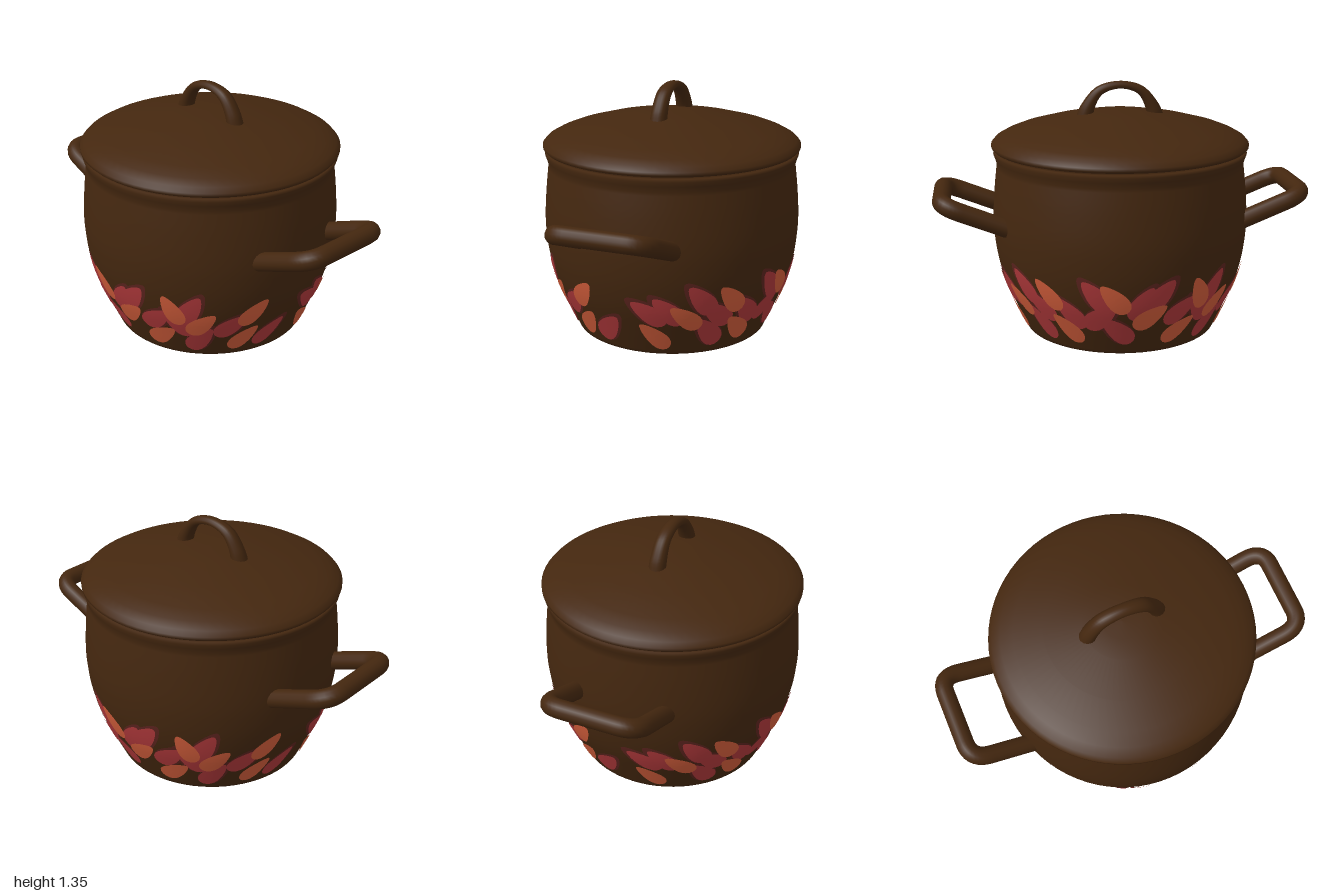
import * as THREE from 'three';
import { mergeGeometries } from 'three/addons/utils/BufferGeometryUtils.js';

const V2 = (x, y) => new THREE.Vector2(x, y);
const V3 = (x, y, z) => new THREE.Vector3(x, y, z);
const flat = (name, color) => Object.assign(new THREE.MeshStandardMaterial({ color }), { name });

// Outer wall of the pot, foot to neck
const wall = new THREE.SplineCurve([
  V2(0.52, 0.03), V2(0.578, 0.16), V2(0.635, 0.3), V2(0.668, 0.43),
  V2(0.683, 0.55), V2(0.685, 0.66), V2(0.675, 0.8), V2(0.66, 0.93),
]).getPoints(35);

function wallRadius(y) {
  let i = 1;
  while (i < wall.length - 1 && wall[i].y < y) i++;
  const a = wall[i - 1], b = wall[i];
  return a.x + (b.x - a.x) * (y - a.y) / (b.y - a.y);
}

// Leaf-shaped plate wrapped on the wall: angle from the front, height, lean, half sizes, lift
function petal([angle, y0, lean], length, width, lift) {
  const g = new THREE.RingGeometry(0.001, 1, 22, 5);
  const p = g.attributes.position;
  const t = THREE.MathUtils.degToRad(lean);
  const r0 = wallRadius(y0);
  for (let i = 0; i < p.count; i++) {
    const l = p.getY(i) * length;
    const w = p.getX(i) * width * (1 - 0.35 * p.getY(i));
    const th = THREE.MathUtils.degToRad(angle) + (w * Math.cos(t) + l * Math.sin(t)) / r0;
    const y = y0 + l * Math.cos(t) - w * Math.sin(t);
    const r = wallRadius(y) + lift;
    p.setXYZ(i, r * Math.sin(th), y, r * Math.cos(th));
  }
  g.computeVertexNormals();
  return g;
}

// Half of the band of petals; the other half is turned by 180 degrees
const orangePetals = [
  [-77, 0.15, -42], [-62, 0.27, -50], [-41, 0.36, -42], [-34, 0.17, -42], [-10, 0.37, -42],
  [6, 0.26, 52], [22, 0.16, 50], [30, 0.36, -25], [43, 0.275, 45], [67, 0.34, 42], [64, 0.16, 40],
];
const redPetals = [
  [-79, 0.295, -55], [-70, 0.31, -45], [-55, 0.37, -40], [-50, 0.17, -35], [-47, 0.28, -50],
  [-31, 0.27, -40], [-18, 0.38, -40], [-17, 0.26, 50], [-9, 0.18, -45], [2, 0.34, 30],
  [10, 0.38, 40], [21, 0.28, 50], [32, 0.27, -40], [38, 0.37, 30], [42, 0.16, 35],
  [57, 0.26, 50], [78, 0.165, 40],
];

// Rounded U-shaped side handle, tilted upward
function handleGeometry() {
  const at = (x, z) => V3(x, 0.63 + (x - 0.6) * 0.4, z);
  const path = new THREE.CurvePath();
  path.add(new THREE.LineCurve3(at(0.58, 0.245), at(0.85, 0.245)));
  path.add(new THREE.QuadraticBezierCurve3(at(0.85, 0.245), at(0.952, 0.245), at(0.952, 0.15)));
  path.add(new THREE.LineCurve3(at(0.952, 0.15), at(0.952, -0.15)));
  path.add(new THREE.QuadraticBezierCurve3(at(0.952, -0.15), at(0.952, -0.245), at(0.85, -0.245)));
  path.add(new THREE.LineCurve3(at(0.85, -0.245), at(0.58, -0.245)));
  return new THREE.TubeGeometry(path, 72, 0.048, 14);
}

// Arched lid handle, thinner at the crown than at the feet
function lidHandleGeometry() {
  const n = 40, sides = 14;
  const curve = new THREE.CatmullRomCurve3([
    V3(-0.19, 1.16, 0), V3(-0.172, 1.22, 0), V3(-0.11, 1.305, 0), V3(0, 1.335, 0),
    V3(0.11, 1.305, 0), V3(0.172, 1.22, 0), V3(0.19, 1.16, 0),
  ]);
  const g = new THREE.TubeGeometry(curve, n, 0.042, sides);
  const p = g.attributes.position;
  for (let i = 0; i <= n; i++) {
    const c = curve.getPointAt(i / n);
    const end = Math.abs(2 * i / n - 1);
    const thick = 0.48 + 0.65 * end * end, deep = 0.88 + 0.22 * end;
    for (let j = 0; j <= sides; j++) {
      const k = i * (sides + 1) + j;
      p.setXYZ(k, c.x + (p.getX(k) - c.x) * thick, c.y + (p.getY(k) - c.y) * thick, p.getZ(k) * deep);
    }
  }
  // keep the tube's seam normals, which stay close to the reshaped surface
  return g;
}

export function createModel() {
  const clay = flat('brown glaze', 0x44270f);
  const maroon = flat('dark maroon paint', 0x5c241e);
  const red = flat('crimson paint', 0xae383a);
  const orange = flat('orange paint', 0xd05c3a);

  const model = new THREE.Group();
  model.name = 'lidded pot';
  const add = (name, geometry, material, parent = model) => {
    const mesh = new THREE.Mesh(geometry, material);
    mesh.name = name;
    parent.add(mesh);
    return mesh;
  };

  // Pot: base, wall, flared rim, then the inside
  add('potBody', new THREE.LatheGeometry([
    V2(0, 0), V2(0.43, 0), V2(0.445, 0.001), ...wall,
    V2(0.668, 0.96), V2(0.677, 0.985), V2(0.672, 1.0), V2(0.63, 1.0),
    V2(0.62, 0.93), V2(0.645, 0.66), V2(0.6, 0.3), V2(0.48, 0.05), V2(0, 0.04),
  ], 72), clay);

  // Lid: seat, rim and shallow dome
  add('lid', new THREE.LatheGeometry([
    V2(0, 0.995), V2(0.63, 0.995), V2(0.633, 1.008), V2(0.675, 1.01), V2(0.686, 1.02),
    V2(0.686, 1.035), V2(0.665, 1.058), V2(0.62, 1.083), V2(0.55, 1.11), V2(0.4, 1.15),
    V2(0.2, 1.187), V2(0.1, 1.196), V2(0, 1.198),
  ], 72), clay);
  add('lidHandle', lidHandleGeometry(), clay);

  // Side handles
  for (const [name, turn] of [['leftHandle', 0], ['rightHandle', Math.PI]]) {
    add(name, handleGeometry(), clay).rotation.y = turn;
  }

  // Painted petals: maroon shadows, crimson, then orange on top
  const shadows = redPetals.map(([a, y, t]) => petal([a + t * 0.03, y + 0.012, t], 0.118, 0.062, 0.003));
  const reds = redPetals.map(q => petal(q, 0.105, 0.053, 0.005));
  const oranges = orangePetals.map(q => petal(q, 0.1, 0.05, 0.007));
  for (const [name, turn] of [['frontPetals', 0], ['backPetals', Math.PI]]) {
    const band = new THREE.Group();
    band.name = name;
    band.rotation.y = turn;
    add('petalShadows', mergeGeometries(shadows), maroon, band);
    add('crimsonPetals', mergeGeometries(reds), red, band);
    add('orangePetals', mergeGeometries(oranges), orange, band);
    model.add(band);
  }
  return model;
}
